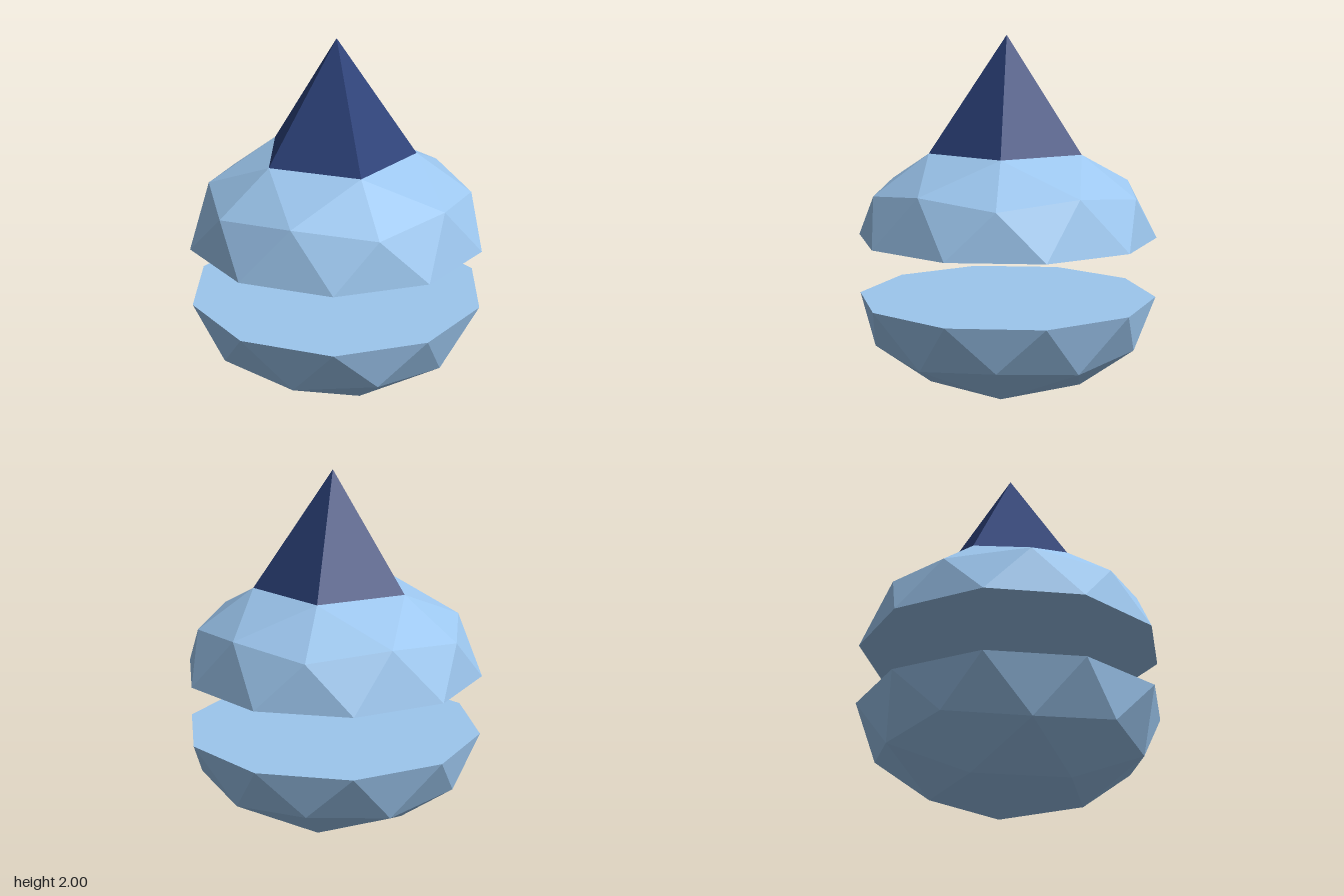
import * as THREE from 'three';
import { ConvexGeometry } from 'three/addons/geometries/ConvexGeometry.js';

const RADIUS = 0.866;
const HEIGHT = 0.493;

// Ring of points at height y, starting at an angle in degrees
function ring(count, radius, y, startDeg) {
  return Array.from({ length: count }, (_, i) => {
    const a = THREE.MathUtils.degToRad(startDeg) + (i / count) * Math.PI * 2;
    return new THREE.Vector3(Math.cos(a) * radius, y, Math.sin(a) * radius);
  });
}

// Faceted half shell: flat rim at rimY, flat cap in direction dir (+1 up, -1 down)
function halfShell(name, rimY, dir, material) {
  const points = [
    ...ring(10, RADIUS, rimY, 18),
    ...ring(5, 0.775, rimY + dir * 0.258, 36),
    ...ring(5, 0.737, rimY + dir * 0.304, 0),
    ...ring(5, 0.455, rimY + dir * HEIGHT, 36),
  ];
  const mesh = new THREE.Mesh(new ConvexGeometry(points), material);
  mesh.name = name;
  return mesh;
}

export function createModel() {
  const group = new THREE.Group();
  group.name = 'splitGem';
  const pale = new THREE.MeshStandardMaterial({ color: 0x9cc6ee, flatShading: true });
  const navy = new THREE.MeshStandardMaterial({ color: 0x2b4078, flatShading: true });

  // Two mirrored halves with a gap between them
  group.add(halfShell('lowerHalf', HEIGHT, -1, pale));
  group.add(halfShell('upperHalf', 0.842, 1, pale));

  // Five-sided spike on the flat cap
  const spikeBase = 0.842 + HEIGHT;
  const spikeHeight = 2 - spikeBase;
  const spike = new THREE.Mesh(
    new THREE.ConeGeometry(0.455, spikeHeight, 5, 1, false, -Math.PI / 2), navy);
  spike.position.y = spikeBase + spikeHeight / 2;
  spike.name = 'spike';
  group.add(spike);

  return group;
}
